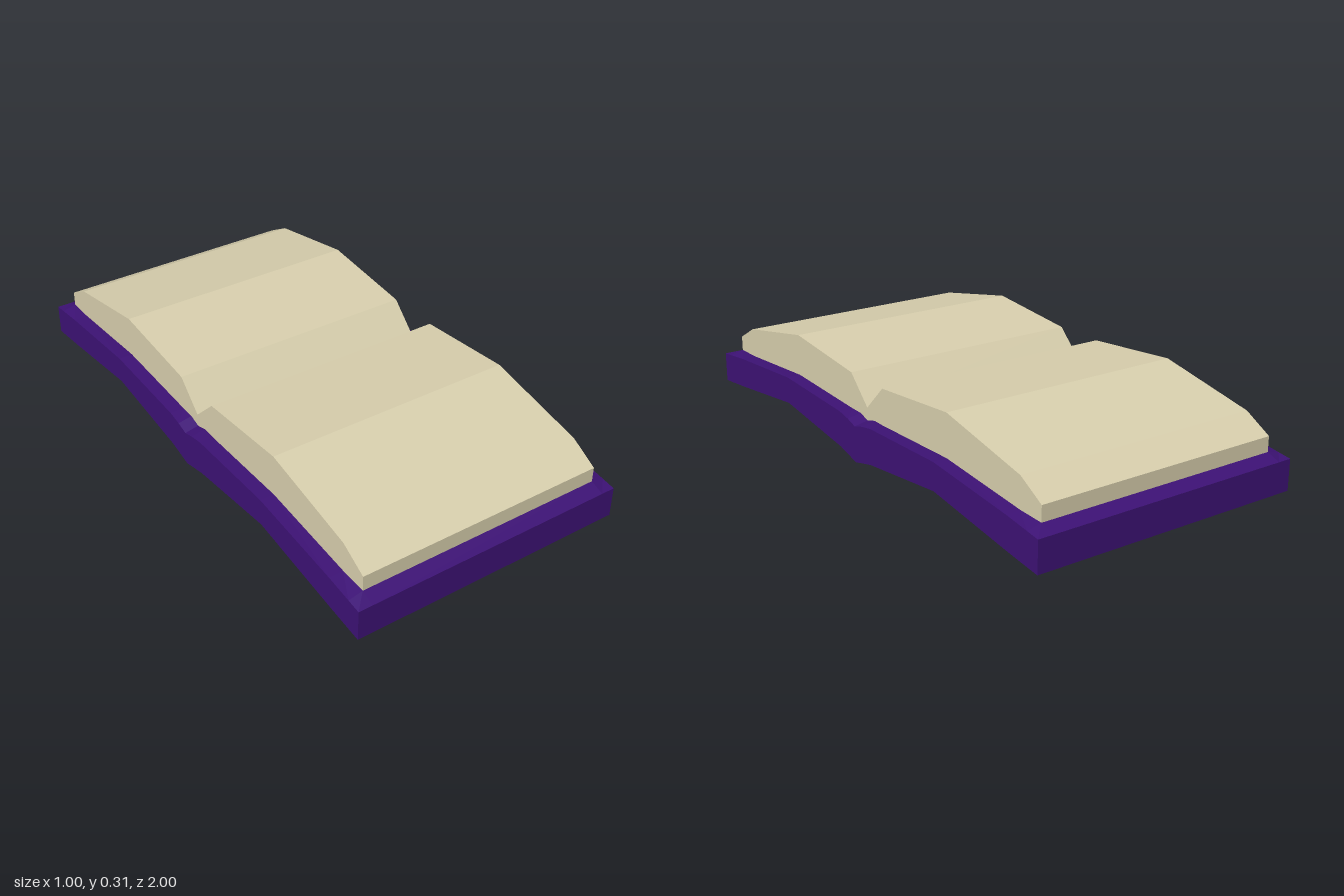
import * as THREE from 'three';

// half profiles, mirrored front to back; listed from the outer edge to the spine
const mirrored = (half) => [
  ...half.map(([z, ...r]) => [-z, ...r]),
  ...half.slice(0, -1).reverse(),
];

// cover stations: z, underside, outer top edge, inner top edge
const COVER = mirrored([
  [1, 0.005, 0.115, 0.115],
  [0.95, 0.01, 0.121, 0.133],
  [0.85, 0.021, 0.133, 0.135],
  [0.475, 0.068, 0.165, 0.165],
  [0.1, 0.024, 0.152, 0.152],
  [0.045, 0.011, 0.142, 0.152],
  [0, 0, 0.129, 0.139],
]);

// page stations: z, top, underside (sunk into the cover)
const PAGES = mirrored([
  [0.95, 0.187, 0.12],
  [0.85, 0.242, 0.12],
  [0.475, 0.315, 0.14],
  [0.1, 0.281, 0.13],
  [0, 0.185, 0.11],
]);

function coverGeometry() {
  const rings = COVER.map(([z, bottom, outer, inner]) =>
    [[-0.5, bottom], [0.5, bottom], [0.5, outer], [0.45, inner], [-0.45, inner], [-0.5, outer]]
      .map(([x, y]) => [x, y, z]));
  const out = [];
  const tri = (a, b, c) => out.push(...a, ...b, ...c);
  const n = rings[0].length;
  for (let i = 0; i < rings.length - 1; i++) {
    for (let j = 0; j < n; j++) {
      const k = (j + 1) % n;
      tri(rings[i][j], rings[i][k], rings[i + 1][k]);
      tri(rings[i][j], rings[i + 1][k], rings[i + 1][j]);
    }
  }
  // front and back edges
  const first = rings[0], last = rings[rings.length - 1];
  for (let j = 1; j < n - 1; j++) {
    tri(last[0], last[j], last[j + 1]);
    tri(first[0], first[j + 1], first[j]);
  }
  const geometry = new THREE.BufferGeometry();
  geometry.setAttribute('position', new THREE.Float32BufferAttribute(out, 3));
  geometry.computeVertexNormals();
  return geometry;
}

function pagesGeometry() {
  const outline = [
    ...PAGES.map(([z, , bottom]) => new THREE.Vector2(z, bottom)),
    ...PAGES.map(([z, top]) => new THREE.Vector2(z, top)).reverse(),
  ];
  return new THREE.ExtrudeGeometry(new THREE.Shape(outline), { depth: 0.9, bevelEnabled: false })
    .translate(0, 0, -0.45)
    .rotateY(Math.PI / 2);
}

export function createModel() {
  const book = new THREE.Group();
  book.name = 'openBook';
  const add = (name, geometry, color) => {
    const mesh = new THREE.Mesh(geometry, new THREE.MeshStandardMaterial({ color, flatShading: true }));
    mesh.name = name;
    book.add(mesh);
  };
  add('cover', coverGeometry(), 0x3d1275);
  add('pages', pagesGeometry(), 0xd9d0ae);
  return book;
}
